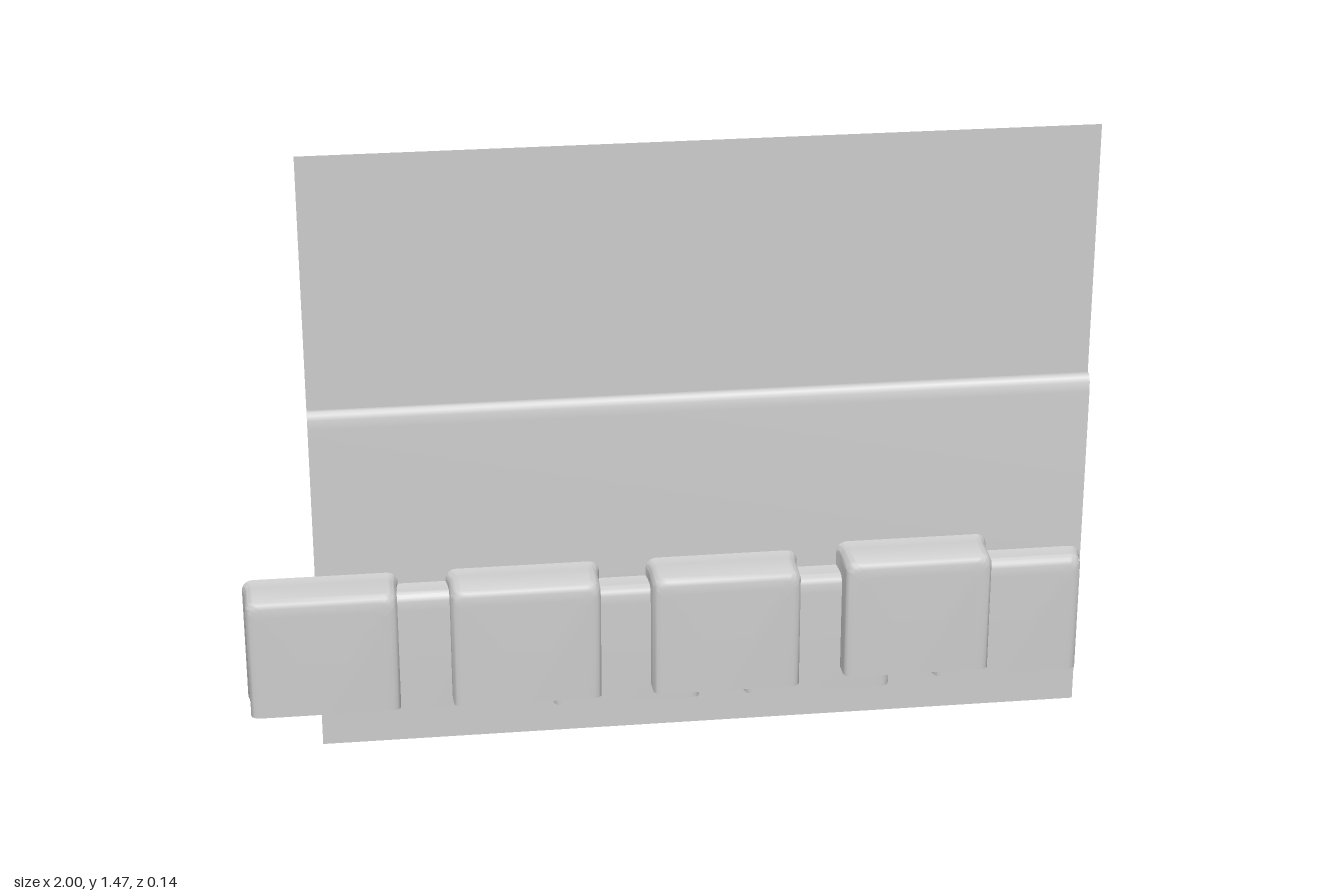
import * as THREE from 'three';
import { toCreasedNormals } from 'three/addons/utils/BufferGeometryUtils.js';

const BACK_Z = -0.045;

// Skin a surface over equally long rows of [x, y, z] points.
function skin(rows) {
  const n = rows[0].length;
  const index = [];
  for (let i = 0; i < rows.length - 1; i++) {
    for (let j = 0; j < n - 1; j++) {
      const a = i * n + j, b = a + 1, c = b + n, d = a + n;
      index.push(a, b, d, b, c, d);
    }
  }
  const geometry = new THREE.BufferGeometry();
  geometry.setAttribute('position', new THREE.Float32BufferAttribute(rows.flat(2), 3));
  geometry.setIndex(index);
  return toCreasedNormals(geometry, 0.9);
}

// Upside-down U outline, from the bottom right over the top to the bottom left.
function outline(x0, x1, y0, y1, z, inset) {
  const r = 0.025, steps = 6;
  const l = x0 + inset, t = y1 - inset, right = x1 - inset;
  const points = [[right, y0, z]];
  for (const [cx, start] of [[right - r, 0], [l + r, Math.PI / 2]]) {
    for (let k = 0; k <= steps; k++) {
      const a = start + (k / steps) * Math.PI / 2;
      points.push([cx + r * Math.cos(a), t - r + r * Math.sin(a), z]);
    }
  }
  points.push([l, y0, z]);
  return points;
}

// Shingle shell, open at the back and bottom, with softly rounded front edges.
function shingleGeometry(x0, x1, y0, y1, front) {
  const levels = [
    [BACK_Z, 0], [BACK_Z + 0.012, 0.003], [BACK_Z + 0.03, 0.005],
    [front - 0.018, 0.006], [front - 0.010, 0.008], [front - 0.004, 0.014],
    [front - 0.001, 0.024], [front, 0.045],
  ];
  const rows = levels.map(([z, inset]) => outline(x0, x1, y0, y1, z, inset));
  rows.push(rows[0].map(() => [(x0 + x1) / 2, y0, front]));
  return skin(rows);
}

export function createModel() {
  const model = new THREE.Group();
  const grey = new THREE.MeshStandardMaterial({ color: 0xcccccc, side: THREE.DoubleSide });
  grey.name = 'plain grey';

  const add = (name, geometry) => {
    const mesh = new THREE.Mesh(geometry, grey);
    mesh.name = name;
    model.add(mesh);
  };

  // Thin wall sheet with a rounded ledge stepping back to its upper part
  const profile = [
    [0, BACK_Z], [0.815, BACK_Z], [0.838, -0.047], [0.849, -0.051],
    [0.855, -0.057], [0.856, -0.063], [0.855, -0.07], [1.465, -0.07],
  ];
  add('wallPanel', skin(profile.map(([y, z]) => [[-0.83, y, z], [1, y, z]])));

  // Shallow lower row: left edge, bottom, top
  [[-0.76, 0.11, 0.415], [-0.285, 0.095, 0.4], [0.175, 0.095, 0.4], [0.635, 0.11, 0.415]]
    .forEach(([x, y0, y1], i) =>
      add(`lowerShingle${i + 1}`, shingleGeometry(x, x + 0.362, y0, y1, 0.01)));

  // Deep upper row overlapping the gaps
  [[-1, 0.14, 0.445], [-0.526, 0.14, 0.445], [-0.053, 0.14, 0.445], [0.404, 0.155, 0.46]]
    .forEach(([x, y0, y1], i) =>
      add(`upperShingle${i + 1}`, shingleGeometry(x, x + 0.362, y0, y1, 0.068)));

  return model;
}
